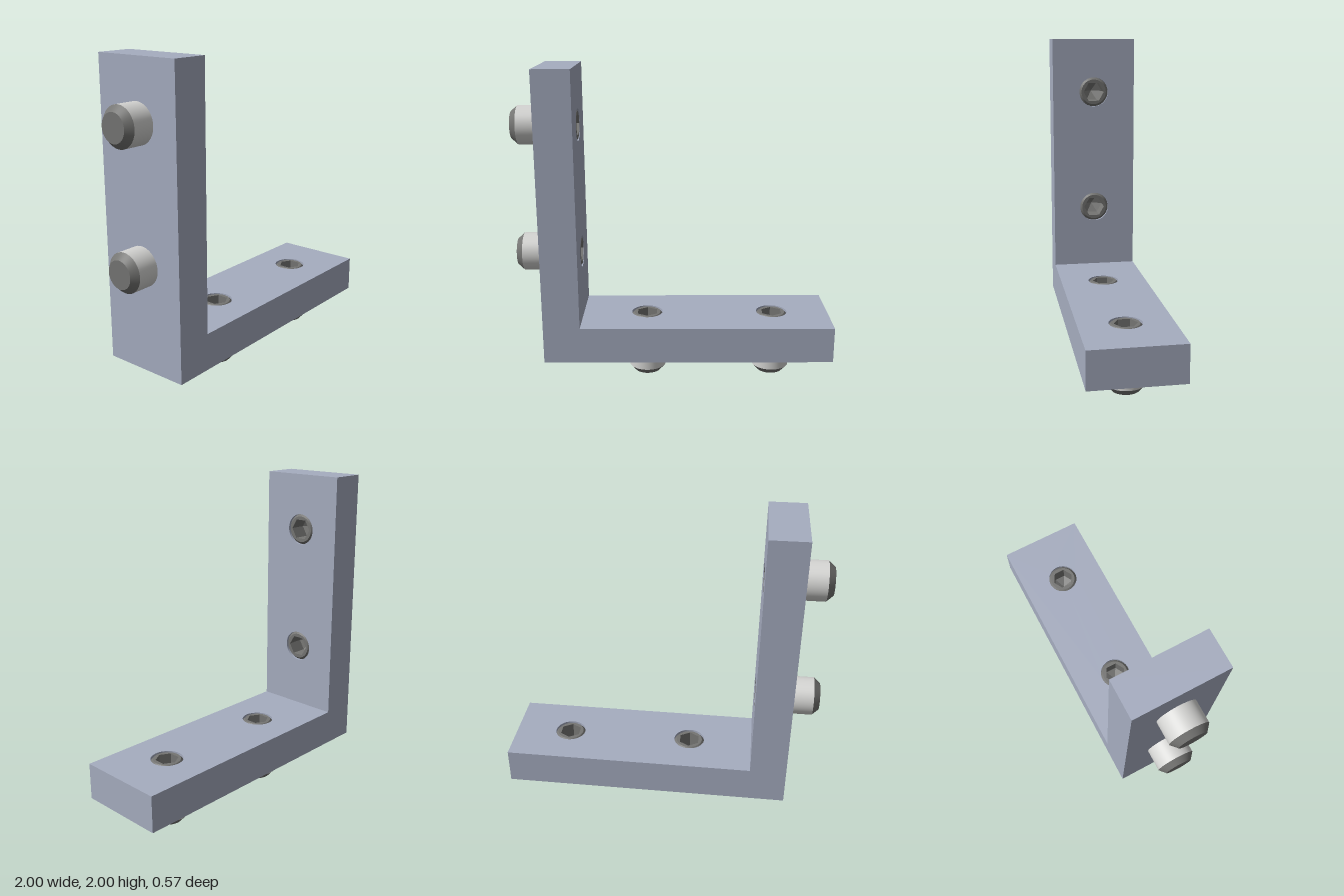
import * as THREE from 'three';
import { toCreasedNormals, mergeGeometries } from 'three/addons/utils/BufferGeometryUtils.js';

const T = 0.23;        // plate thickness
const L = 0.405;       // screw length
const BASE = L - T;    // how far the tips stand out
const HALF = 0.283;    // half depth of the bracket
const HOLE = 0.1, R = 0.12, TIP = 0.085, HEX = 0.071;

export function createModel() {
  const bracketMat = new THREE.MeshStandardMaterial({ name: 'blue grey bracket', color: 0xa6adc0 });
  const steelMat = new THREE.MeshStandardMaterial({ name: 'light steel', color: 0xd4d4d2 });
  const darkMat = new THREE.MeshStandardMaterial({ name: 'dark steel', color: 0x757573, side: THREE.DoubleSide });

  const model = new THREE.Group();
  model.name = 'cornerBracket';
  const add = (parent, geometry, material, name) => {
    const mesh = new THREE.Mesh(geometry, material);
    mesh.name = name;
    parent.add(mesh);
    return mesh;
  };
  const rect = (x0, y0, x1, y1) => new THREE.Shape([
    new THREE.Vector2(x0, y0), new THREE.Vector2(x1, y0),
    new THREE.Vector2(x1, y1), new THREE.Vector2(x0, y1)]);
  const hole = (shape, x, y, r) => shape.holes.push(new THREE.Path().absarc(x, y, r, 0, Math.PI * 2, true));
  const extrude = shape => new THREE.ExtrudeGeometry(shape, { depth: T, bevelEnabled: false, curveSegments: 32 });
  const lathe = points => toCreasedNormals(
    new THREE.LatheGeometry(points.map(p => new THREE.Vector2(...p)), 48), 0.5);

  const footX = [-0.18, 0.635], wallY = [0.825, 1.64];

  // Foot plate with vertical holes
  const footShape = rect(-1 + L, -HALF, 1, HALF);
  footX.forEach(x => hole(footShape, x, 0, HOLE));
  add(model, extrude(footShape).rotateX(-Math.PI / 2).translate(0, BASE, 0), bracketMat, 'footPlate');

  // Upright plate with sideways holes
  const wallShape = rect(-HALF, BASE, HALF, 2);
  wallY.forEach(y => hole(wallShape, 0, y, HOLE));
  add(model, extrude(wallShape).rotateY(Math.PI / 2).translate(-1 + BASE, 0, 0), bracketMat, 'uprightPlate');

  // Screw parts, standing on the tip
  const top = L - 0.001, depth = 0.11, cone = 0.04;
  const tipGeo = lathe([[0, 0], [TIP, 0], [R, 0.04]]);
  const shankGeo = lathe([[R, 0.04], [R, L - 0.04]]);
  const chamferGeo = lathe([[R, L - 0.04], [TIP, top]]);

  // Flat end face around the hexagonal socket
  const ring = new THREE.Shape().absarc(0, 0, TIP, 0, Math.PI * 2, false);
  const hexPoints = Array.from({ length: 6 }, (_, i) => {
    const a = Math.PI / 2 + i * Math.PI / 3;
    return new THREE.Vector2(HEX * Math.cos(a), HEX * Math.sin(a));
  });
  ring.holes.push(new THREE.Path(hexPoints));
  const ringGeo = new THREE.ShapeGeometry(ring, 24).rotateX(-Math.PI / 2).translate(0, top, 0);

  // Socket walls and pointed floor, turned inside out and faceted
  const socketGeo = mergeGeometries([
    new THREE.CylinderGeometry(HEX, HEX, depth, 6, 1, true).translate(0, top - depth / 2, 0),
    new THREE.CylinderGeometry(HEX, 0, cone, 6, 1, true).translate(0, top - depth - cone / 2, 0),
  ]);
  const index = socketGeo.index.array;
  for (let i = 0; i < index.length; i += 3) [index[i], index[i + 1]] = [index[i + 1], index[i]];
  const facetedSocket = socketGeo.toNonIndexed();
  facetedSocket.computeVertexNormals();

  const addScrew = (name, x, y, turn) => {
    const screw = new THREE.Group();
    screw.name = name;
    add(screw, tipGeo, darkMat, 'screwTip');
    add(screw, shankGeo, steelMat, 'screwShank');
    add(screw, chamferGeo, darkMat, 'screwChamfer');
    add(screw, ringGeo, darkMat, 'screwEndFace');
    add(screw, facetedSocket, darkMat, 'hexSocket');
    screw.position.set(x, y, 0);
    screw.rotation.z = turn;
    model.add(screw);
  };
  footX.forEach((x, i) => addScrew('footScrew' + (i + 1), x, 0, 0));
  wallY.forEach((y, i) => addScrew('uprightScrew' + (i + 1), -1, y, -Math.PI / 2));

  return model;
}
